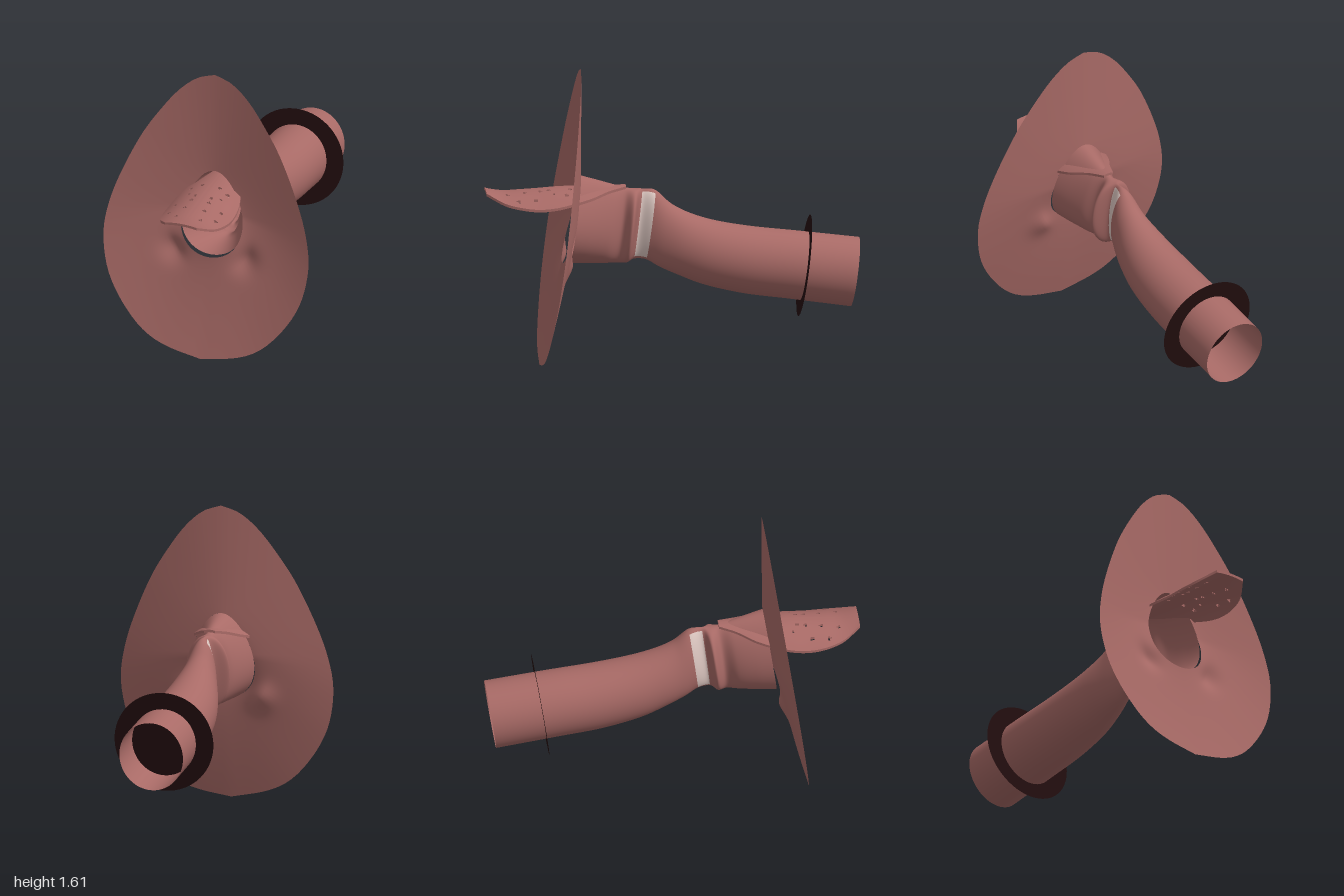
import * as THREE from 'three';
import { toCreasedNormals } from 'three/addons/utils/BufferGeometryUtils.js';

const mat = (name, color) => {
  const m = new THREE.MeshStandardMaterial({ color, side: THREE.DoubleSide });
  m.name = name;
  return m;
};
const spline = (pts) =>
  new THREE.CatmullRomCurve3(pts.map((p) => new THREE.Vector3(...p)), false, 'catmullrom', 0.5);

// Egg-shaped ring point: t runs 0..1 around, starting at the bottom; k narrows the top
function ringPoint(lo, hi, w, k, t) {
  const a = t * Math.PI * 2, v = (1 - Math.cos(a)) / 2;
  return [
    w * Math.sin(a) * (1 + k * Math.cos(a)) / (1 + 0.12 * k),
    lo.y + (hi.y - lo.y) * v,
    lo.z + (hi.z - lo.z) * v,
  ];
}

// Closed-ring surface from point(s, t); pale(s, t) picks faces for the second material
function loft(point, rows, cols, pale = () => false) {
  const pos = [], faces = [[], []];
  for (let i = 0; i <= rows; i++)
    for (let j = 0; j < cols; j++) pos.push(...point(i / rows, j / cols));
  for (let i = 0; i < rows; i++)
    for (let j = 0; j < cols; j++) {
      const a = i * cols + j, b = i * cols + ((j + 1) % cols);
      faces[pale((i + 0.5) / rows, (j + 0.5) / cols) ? 1 : 0].push(a, a + cols, b, b, a + cols, b + cols);
    }
  const geo = new THREE.BufferGeometry();
  geo.setAttribute('position', new THREE.Float32BufferAttribute(pos, 3));
  geo.setIndex([...faces[0], ...faces[1]]);
  geo.addGroup(0, faces[0].length, 0);
  geo.addGroup(faces[0].length, faces[1].length, 1);
  geo.computeVertexNormals();
  return geo;
}

// Airway keys, front to back: half width, bottom (y, z), top (y, z), top narrowing
const keys = [
  [0.175, 0.56, 0.555, 1.03, 0.49, 0.25],
  [0.145, 0.557, 0.46, 1.005, 0.40, 0.25],
  [0.11, 0.555, 0.365, 0.98, 0.315, 0.2],
  [0.07, 0.556, 0.295, 0.962, 0.25, 0.1],
  [0.12, 0.556, 0.245, 0.955, 0.2, 0],
  [0.04, 0.575, 0.205, 0.955, 0.16, 0],
  [0.072, 0.57, 0.14, 0.945, 0.09, 0],
  [0.1, 0.53, 0.07, 0.87, 0.005, 0],
  [0.13, 0.485, -0.03, 0.815, -0.1, 0],
  [0.155, 0.43, -0.17, 0.772, -0.24, 0],
  [0.17, 0.38, -0.38, 0.738, -0.43, 0],
  [0.175, 0.347, -0.62, 0.71, -0.67, 0],
  [0.175, 0.30, -0.95, 0.67, -1.0, 0],
];
const lower = spline(keys.map((k) => [k[0], k[1], k[2]]));
const upper = spline(keys.map((k) => [k[5], k[3], k[4]]));

function airwayGeometry() {
  const spans = keys.length - 1;
  return loft(
    (s, t) => {
      const lo = lower.getPoint(s), hi = upper.getPoint(s);
      return ringPoint(lo, hi, lo.x, hi.x, t);
    },
    spans * 8, 64,
    // pale folds on the two sides of the narrow throat
    (s, t) => s * spans > 5 && s * spans < 6 && Math.abs(Math.sin(t * Math.PI * 2)) > 0.35,
  );
}

// Egg-shaped sheet spreading from the airway opening to a tilted rim
function sheetGeometry() {
  const rim = spline([
    [0, 0.005, 0], [0.18, 0.04, 0], [0.3, 0.09, 0], [0.4, 0.175, 0], [0.5, 0.31, 0],
    [0.56, 0.45, 0], [0.585, 0.63, 0], [0.56, 0.8, 0], [0.5, 0.98, 0], [0.4, 1.2, 0],
    [0.3, 1.36, 0], [0.2, 1.49, 0], [0.1, 1.575, 0], [0, 1.61, 0],
  ]);
  const lo = lower.getPoint(0), hi = upper.getPoint(0);
  return loft((s, t) => {
    const half = t <= 0.5 ? t * 2 : 2 - t * 2;
    const o = rim.getPointAt(half);
    const sx = t <= 0.5 ? 1 : -1;
    const p = ringPoint(lo, hi, 0.175, 0.25, t);
    const zin = p[2] + 0.035 * Math.max(0, Math.cos(t * Math.PI * 2));
    const zout = 0.49 + (1.61 - o.y) * 0.137;
    const x = p[0] + (o.x * sx - p[0]) * s, y = p[1] + (o.y - p[1]) * s;
    // shallow hollow beside the opening
    const d = ((Math.abs(x) - 0.2) ** 2 + (y - 0.57) ** 2) / 0.005;
    return [x, y, zin + (zout - zin) * s ** 1.3 - 0.03 * Math.exp(-d) * Math.min(1, s * 6)];
  }, 28, 96);
}

// Drooping leaf-shaped flap, pierced by small holes
function flapGeometry() {
  // half width, height, droop at the edges; evenly spaced from root to tip
  const shape = spline([
    [0.03, 0.978, 0.005], [0.07, 0.975, 0.02], [0.125, 0.973, 0.045],
    [0.16, 0.973, 0.065], [0.18, 0.97, 0.08], [0.185, 0.963, 0.08],
    [0.178, 0.957, 0.065], [0.15, 0.953, 0.04], [0.09, 0.965, 0.008],
  ]);
  const holes = [
    [0.05, 0.55], [0.105, 0.575], [0.09, 0.64], [0.045, 0.67], [0.05, 0.71],
    [0.13, 0.74], [0.055, 0.795], [0.135, 0.83], [0.07, 0.89],
  ];
  const N = 48, M = 72, thick = 0.014, pos = [];
  const point = (i, j, top) => {
    const g = shape.getPoint(j / M), u = (i / N) * 2 - 1;
    return [g.x * u, g.y - g.z * u * u - (top ? 0 : thick), 0.25 + 0.75 * (j / M)];
  };
  const solid = (i, j) => {
    if (i < 0 || j < 0 || i >= N || j >= M) return false;
    const [x, , z] = point(i + 0.5, j + 0.5, true);
    return !holes.some(([hx, hz]) => Math.hypot(Math.abs(x) - hx, z - hz) < 0.01);
  };
  const quad = (a, b, c, d) => pos.push(...a, ...b, ...c, ...a, ...c, ...d);
  const wall = (a, b) => quad(point(...a, true), point(...a, false), point(...b, false), point(...b, true));
  for (let i = 0; i < N; i++)
    for (let j = 0; j < M; j++) {
      if (!solid(i, j)) continue;
      const c = [[i, j], [i, j + 1], [i + 1, j + 1], [i + 1, j]];
      quad(...c.map((p) => point(...p, true)));
      quad(...c.map((p) => point(...p, false)).reverse());
      [[-1, 0], [0, 1], [1, 0], [0, -1]].forEach(([di, dj], n) => {
        if (!solid(i + di, j + dj)) wall(c[n], c[(n + 1) % 4]);
      });
    }
  const geo = new THREE.BufferGeometry();
  geo.setAttribute('position', new THREE.Float32BufferAttribute(pos, 3));
  return toCreasedNormals(geo, 0.7);
}

export function createModel() {
  const group = new THREE.Group();
  const flesh = mat('fleshPink', 0xa86a66);
  const fold = mat('paleFold', 0xdcc6c0);
  const dark = mat('darkDisc', 0x220d0e);
  const add = (name, geo, material) => {
    const mesh = new THREE.Mesh(geo, material);
    mesh.name = name;
    group.add(mesh);
    return mesh;
  };

  add('airwayTube', airwayGeometry(), [flesh, fold]);
  add('throatSheet', sheetGeometry(), flesh);
  add('flap', flapGeometry(), flesh);

  // Flat disc across the rear of the tube, square to its axis
  const disc = add('rearDisc', new THREE.CircleGeometry(0.272, 64), dark);
  disc.position.set(0, 0.523, -0.705);
  disc.rotation.x = -0.134;

  return group;
}
